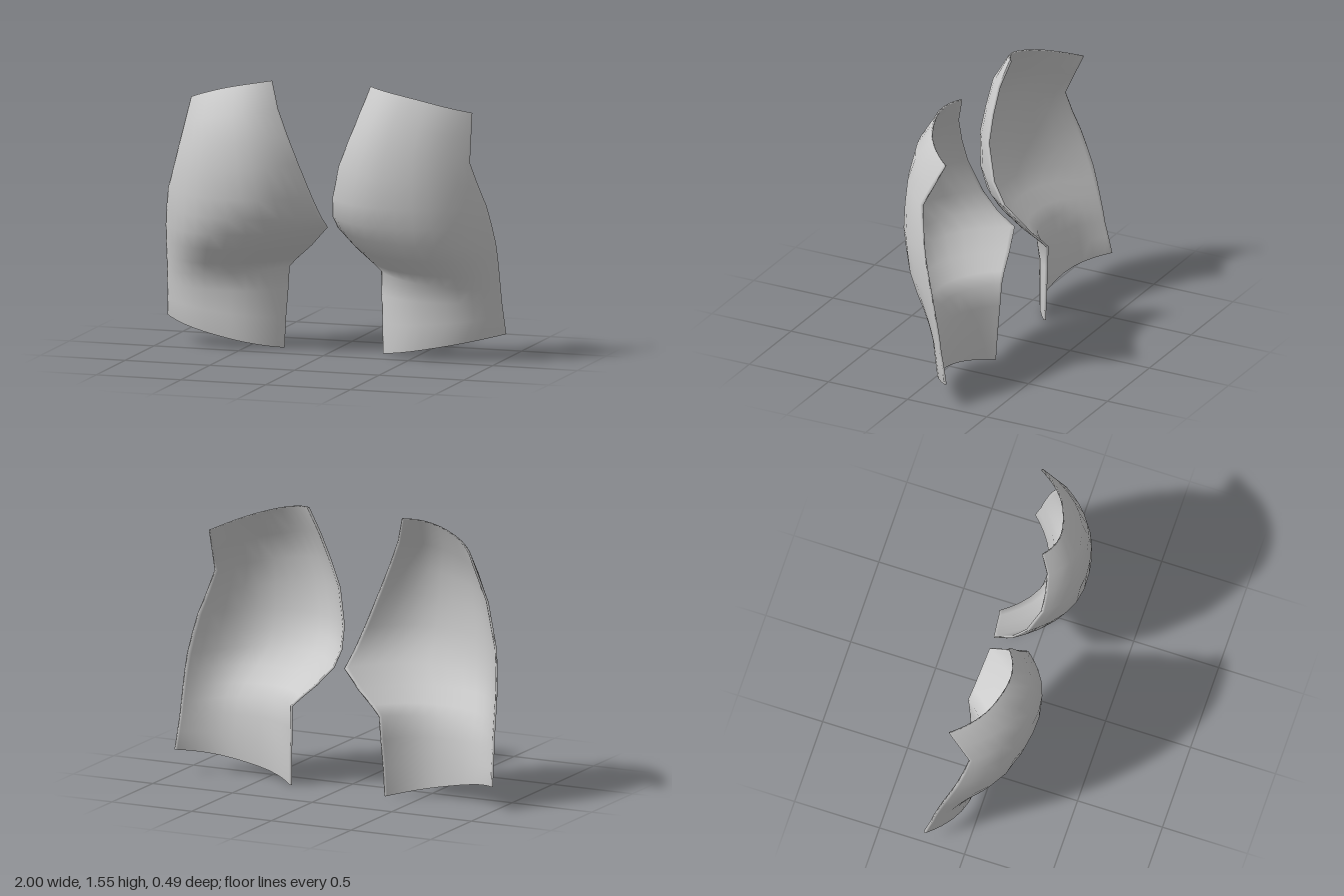
import * as THREE from 'three';

// Rows from top to bottom: inner edge x,y,z | outer edge x,y,z | z of the crest
const ROWS = [
  [0.29, 1.55, 0.035, 0.83, 1.40, -0.145, 0.075],
  [0.24, 1.40, 0.08, 0.845, 1.27, -0.08, 0.18],
  [0.18, 1.25, 0.09, 0.86, 1.14, -0.015, 0.22],
  [0.12, 1.10, 0.085, 0.90, 1.01, -0.04, 0.24],
  [0.06, 0.90, 0.02, 0.94, 0.89, -0.07, 0.24],
  [0.035, 0.78, -0.06, 0.96, 0.78, -0.10, 0.215],
  [0.03, 0.70, -0.165, 0.975, 0.67, -0.13, 0.18],
  [0.13, 0.59, -0.185, 0.98, 0.58, -0.15, 0.115],
  [0.22, 0.51, -0.20, 0.983, 0.48, -0.17, 0.04],
  [0.27, 0.46, -0.21, 0.985, 0.40, -0.185, -0.005],
  [0.275, 0.33, -0.20, 0.988, 0.33, -0.195, -0.033],
  [0.285, 0.17, -0.19, 0.993, 0.24, -0.215, -0.042],
  [0.29, 0.00, -0.18, 1.00, 0.14, -0.235, -0.053],
];
const COLS = 14;
const THICKNESS = 0.012;

// A thin curved shell; side is +1 for the model's left, -1 for its right
function shellGeometry(side) {
  const w = COLS + 1, h = ROWS.length, n = w * h;
  const pos = [], index = [];
  const tri = (a, b, c) => (side > 0 ? index.push(a, b, c) : index.push(a, c, b));

  // Outer skin: each row is an arch between its two edges
  ROWS.forEach(([xi, yi, zi, xo, yo, zo, crest], i) => {
    for (let j = 0; j < w; j++) {
      const t = (1 - Math.cos((Math.PI * j) / COLS)) / 2;
      const arch = 1 - Math.pow(Math.abs(2 * t - 1), 2.5);
      const lift = 0.025 * Math.max(0, 1 - i / 3) * 4 * t * (1 - t);
      pos.push(
        side * THREE.MathUtils.lerp(xi, xo, t),
        THREE.MathUtils.lerp(yi, yo, t) + lift,
        THREE.MathUtils.lerp(zi, zo, t) + (crest - (zi + zo) / 2) * arch
      );
    }
  });
  for (let i = 0; i < h - 1; i++) {
    for (let j = 0; j < COLS; j++) {
      const a = i * w + j, b = a + 1, c = a + w, d = c + 1;
      tri(a, c, b);
      tri(b, c, d);
    }
  }

  // Inner skin: the outer one moved in along its normals
  const skin = new THREE.BufferGeometry();
  skin.setAttribute('position', new THREE.Float32BufferAttribute(pos, 3));
  skin.setIndex(index.slice());
  skin.computeVertexNormals();
  const normals = skin.attributes.normal.array;
  for (let k = 0; k < n * 3; k++) pos.push(pos[k] - normals[k] * THICKNESS);
  const outerFaces = index.slice();
  for (let k = 0; k < outerFaces.length; k += 3) {
    index.push(outerFaces[k] + n, outerFaces[k + 2] + n, outerFaces[k + 1] + n);
  }

  // Rim joining both skins
  const loop = [];
  for (let j = 0; j < COLS; j++) loop.push(j);
  for (let i = 0; i < h - 1; i++) loop.push(i * w + COLS);
  for (let j = COLS; j > 0; j--) loop.push((h - 1) * w + j);
  for (let i = h - 1; i > 0; i--) loop.push(i * w);
  loop.forEach((p, k) => {
    const q = loop[(k + 1) % loop.length];
    tri(p, q, p + n);
    tri(q, q + n, p + n);
  });

  const geometry = new THREE.BufferGeometry();
  geometry.setAttribute('position', new THREE.Float32BufferAttribute(pos, 3));
  geometry.setIndex(index);
  geometry.computeVertexNormals();
  return geometry;
}

export function createModel() {
  const group = new THREE.Group();
  group.name = 'thighShells';
  const material = new THREE.MeshStandardMaterial({ color: 0xcccccc, side: THREE.DoubleSide });
  for (const [name, side] of [['leftThighShell', 1], ['rightThighShell', -1]]) {
    const mesh = new THREE.Mesh(shellGeometry(side), material);
    mesh.name = name;
    group.add(mesh);
  }
  return group;
}
